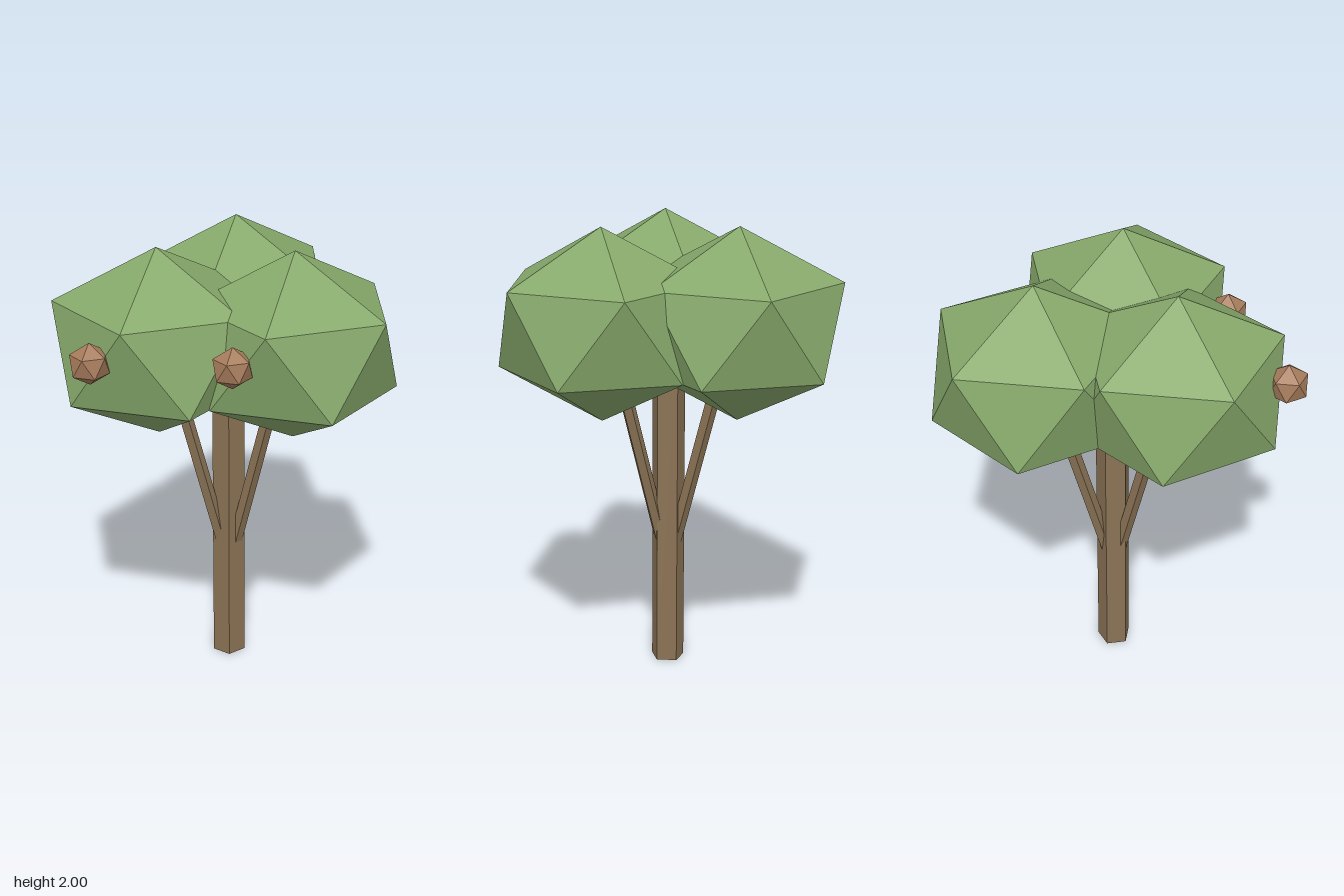
import * as THREE from 'three';

const flat = (name, color) => {
  const m = new THREE.MeshStandardMaterial({ color, flatShading: true });
  m.name = name;
  return m;
};

// Icosahedron standing on one vertex, with an upper ring vertex towards +x
function uprightIcosahedron(radius, yScale = 1) {
  const t = (1 + Math.sqrt(5)) / 2;
  return new THREE.IcosahedronGeometry(radius, 0)
    .rotateZ(-Math.atan(1 / t))
    .scale(1, yScale, 1);
}

export function createModel() {
  const tree = new THREE.Group();
  tree.name = 'tree';
  const bark = flat('bark', 0x8b7355);
  const leaf = flat('leaf', 0x87a96b);
  const nut = flat('nut', 0xa67b5b);

  const add = (name, geometry, material, x, y, z) => {
    const mesh = new THREE.Mesh(geometry, material);
    mesh.name = name;
    mesh.position.set(x, y, z);
    tree.add(mesh);
    return mesh;
  };

  // Five-sided trunk with a flat side to the front
  const cx = -0.087, cz = -0.053, trunkHeight = 1.5;
  const trunk = new THREE.CylinderGeometry(0.075, 0.075, trunkHeight, 5).rotateY(Math.PI);
  add('trunk', trunk, bark, cx, trunkHeight / 2, cz);

  // Three branches leaning out of the trunk, one towards each crown
  const branchLength = 1.1;
  const branch = new THREE.CylinderGeometry(0.031, 0.031, branchLength, 5)
    .rotateY(Math.PI)
    .translate(0, branchLength / 2, 0)
    .rotateZ(-Math.PI / 12);
  for (let i = 0; i < 3; i++) {
    add('branch', branch, bark, cx, 0.44, cz).rotation.y = (i * 2 * Math.PI) / 3;
  }

  // Leaf crowns, slightly squashed
  const crown = uprightIcosahedron(0.494, 0.845);
  for (const [x, z] of [[-0.25, -0.345], [-0.25, 0.235], [0.25, -0.055]]) {
    add('crown', crown, leaf, x, 1.583, z);
  }

  // Nuts on the front of the two front crowns
  const nutShape = uprightIcosahedron(0.09);
  for (const [x, z] of [[-0.25, 0.685], [0.25, 0.395]]) {
    add('nut', nutShape, nut, x, 1.627, z);
  }
  return tree;
}
